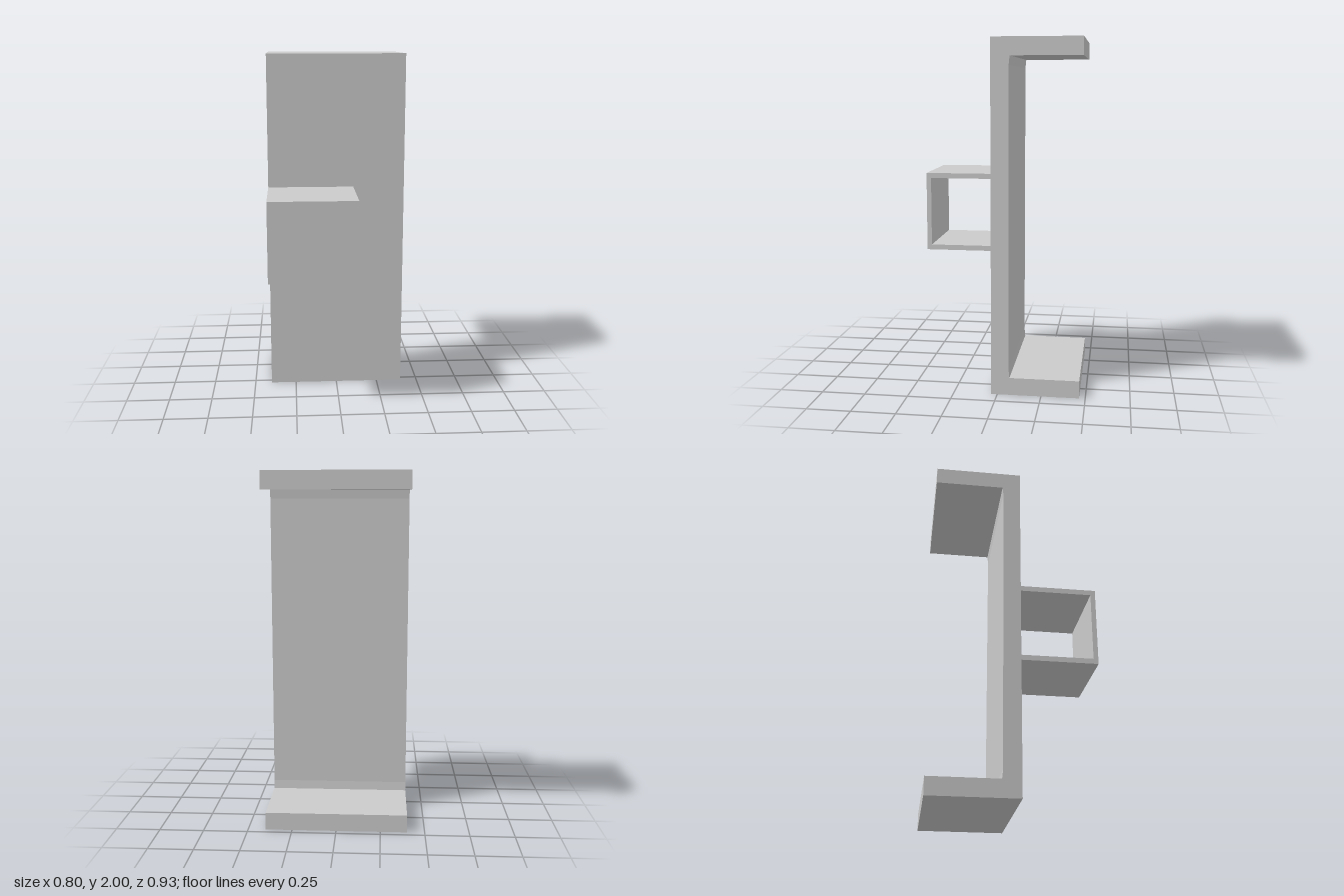
import * as THREE from 'three';

const material = new THREE.MeshStandardMaterial({ color: 0xcccccc, flatShading: true });

// Extrudes a side profile of [z, y] points across x from x0 to x1.
function sideProfile(name, points, x0, x1) {
  const shape = new THREE.Shape(points.map(([z, y]) => new THREE.Vector2(-z, y)));
  const geometry = new THREE.ExtrudeGeometry(shape, { depth: x1 - x0, bevelEnabled: false });
  geometry.rotateY(Math.PI / 2).translate(x0, 0, 0);
  const mesh = new THREE.Mesh(geometry, material);
  mesh.name = name;
  return mesh;
}

// Lathe turned along the line from a to b; profile is [radius, fraction along].
function turned(name, profile, a, b, sides) {
  const dir = b.clone().sub(a);
  const points = profile.map(([r, t]) => new THREE.Vector2(r, t * dir.length()));
  const mesh = new THREE.Mesh(new THREE.LatheGeometry(points, sides), material);
  mesh.position.copy(a);
  mesh.quaternion.setFromUnitVectors(new THREE.Vector3(0, 1, 0), dir.normalize());
  mesh.name = name;
  return mesh;
}

export function createModel() {
  const group = new THREE.Group();

  // Tall channel: upright plate with top and bottom flanges to the rear
  group.add(sideProfile('channelFrame', [
    [0.035, 0], [0.035, 2], [-0.465, 2], [-0.465, 1.9], [-0.07, 1.9], [-0.065, 1.85],
    [-0.065, 0.15], [-0.07, 0.1], [-0.465, 0.1], [-0.465, 0],
  ], -0.4, 0.4));

  // Square hoop bracket on the front
  group.add(sideProfile('frontBracket', [
    [0.035, 0.77], [0.465, 0.77], [0.465, 1.23], [0.035, 1.23],
    [0.035, 1.2], [0.438, 1.2], [0.438, 0.8], [0.035, 0.8],
  ], -0.4, 0.1));

  // Small pull inside the bracket: thin cord with a tapered grip
  const pull = new THREE.Group();
  pull.name = 'pull';
  const cordEnd = new THREE.Vector3(-0.09, 1.035, 0.055);
  const gripTop = new THREE.Vector3(0, 1.012, 0.055);
  const gripEnd = new THREE.Vector3(0.113, 0.985, 0.055);
  pull.add(turned('cord', [[0, 0], [0.003, 0], [0.003, 1], [0, 1]], cordEnd, gripTop, 6));
  pull.add(turned('grip', [[0, 0], [0.007, 0.02], [0.011, 0.2], [0.017, 0.75], [0.015, 0.92], [0.008, 1], [0, 1]],
    gripTop, gripEnd, 8));
  group.add(pull);

  return group;
}
